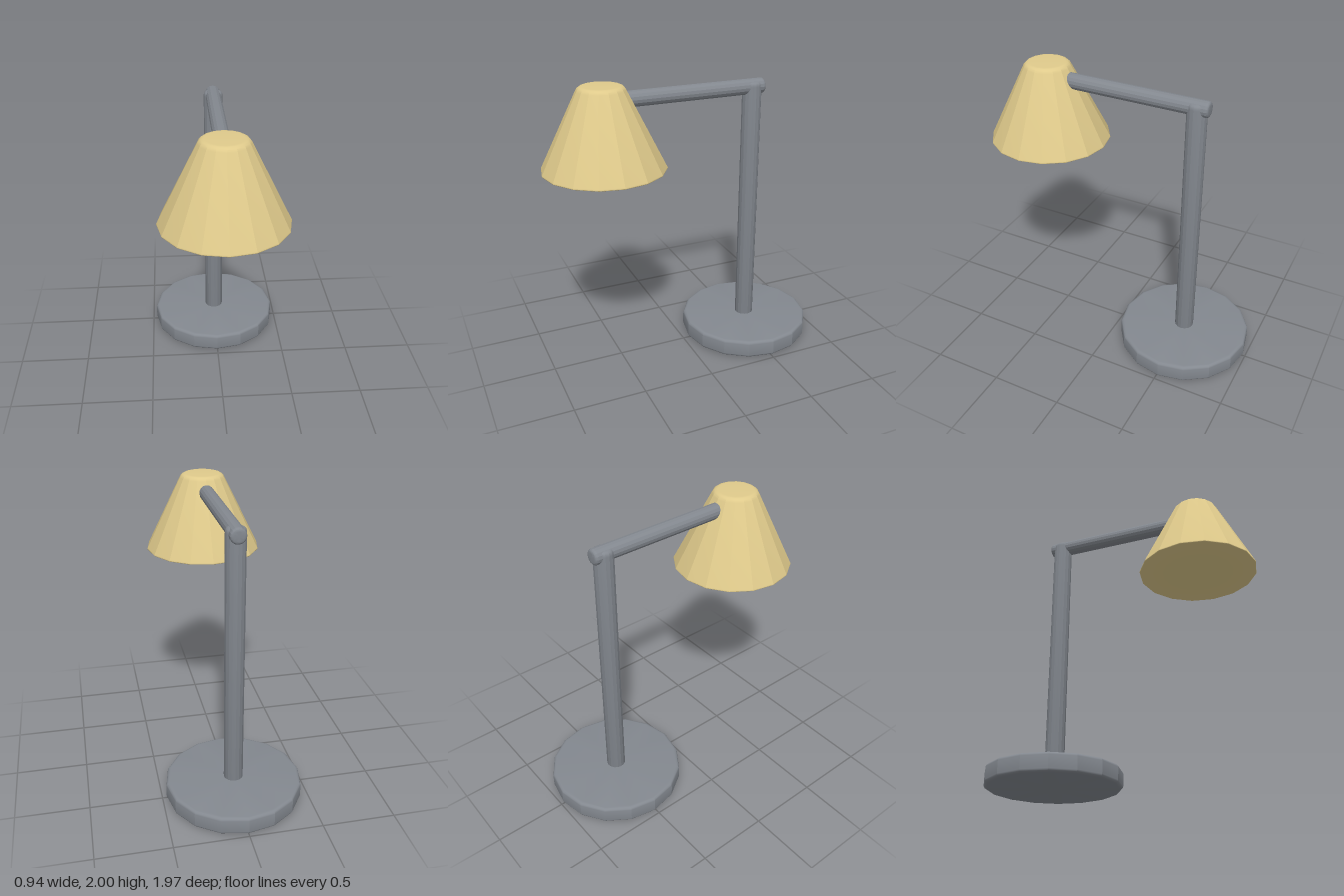
import * as THREE from 'three';
import { toCreasedNormals } from 'three/addons/utils/BufferGeometryUtils.js';

const SIDES = 16;

// Closed, faceted solid of revolution with softly rounded rims.
// bottom and top are [radius, y, bevel].
function roundedFrustum(bottom, top) {
  const corners = [bottom, top].map(([r, y]) => new THREE.Vector2(r, y));
  const caps = corners.map((c) => new THREE.Vector2(0, c.y));
  const toward = (from, to, d) =>
    from.clone().add(to.clone().sub(from).setLength(d));
  const rim = (before, corner, after, bevel) =>
    new THREE.QuadraticBezierCurve(
      toward(corner, before, bevel), corner, toward(corner, after, bevel)
    ).getPoints(7);
  const profile = [
    caps[0],
    ...rim(caps[0], corners[0], corners[1], bottom[2]),
    ...rim(corners[0], corners[1], caps[1], top[2]),
    caps[1],
  ];
  return toCreasedNormals(new THREE.LatheGeometry(profile, SIDES), 0.3);
}

export function createModel() {
  const group = new THREE.Group();
  const grey = new THREE.MeshStandardMaterial({ name: 'greyMetal', color: 0x83888f });
  const cream = new THREE.MeshStandardMaterial({ name: 'creamShade', color: 0xdfca8b });

  const add = (name, geometry, material, x, y, z) => {
    const mesh = new THREE.Mesh(geometry, material);
    mesh.name = name;
    mesh.position.set(x, y, z);
    group.add(mesh);
    return mesh;
  };

  // Round foot
  add('base', roundedFrustum([0.472, 0, 0.03], [0.472, 0.13, 0.03]), grey, 0, 0, -0.512);

  // Upright post
  add('post', roundedFrustum([0.067, 0.1, 0.02], [0.067, 1.935, 0.035]), grey, 0, 0, -0.512);

  // Horizontal arm running forward into the shade
  const arm = add('arm', roundedFrustum([0.054, 0, 0.025], [0.054, 1.1, 0.025]), grey, 0, 1.897, -0.598);
  arm.rotation.x = Math.PI / 2;

  // Tapered shade, closed underneath
  add('shade', roundedFrustum([0.42, 1.448, 0.015], [0.147, 2, 0.03]), cream, 0, 0, 0.566);

  return group;
}
